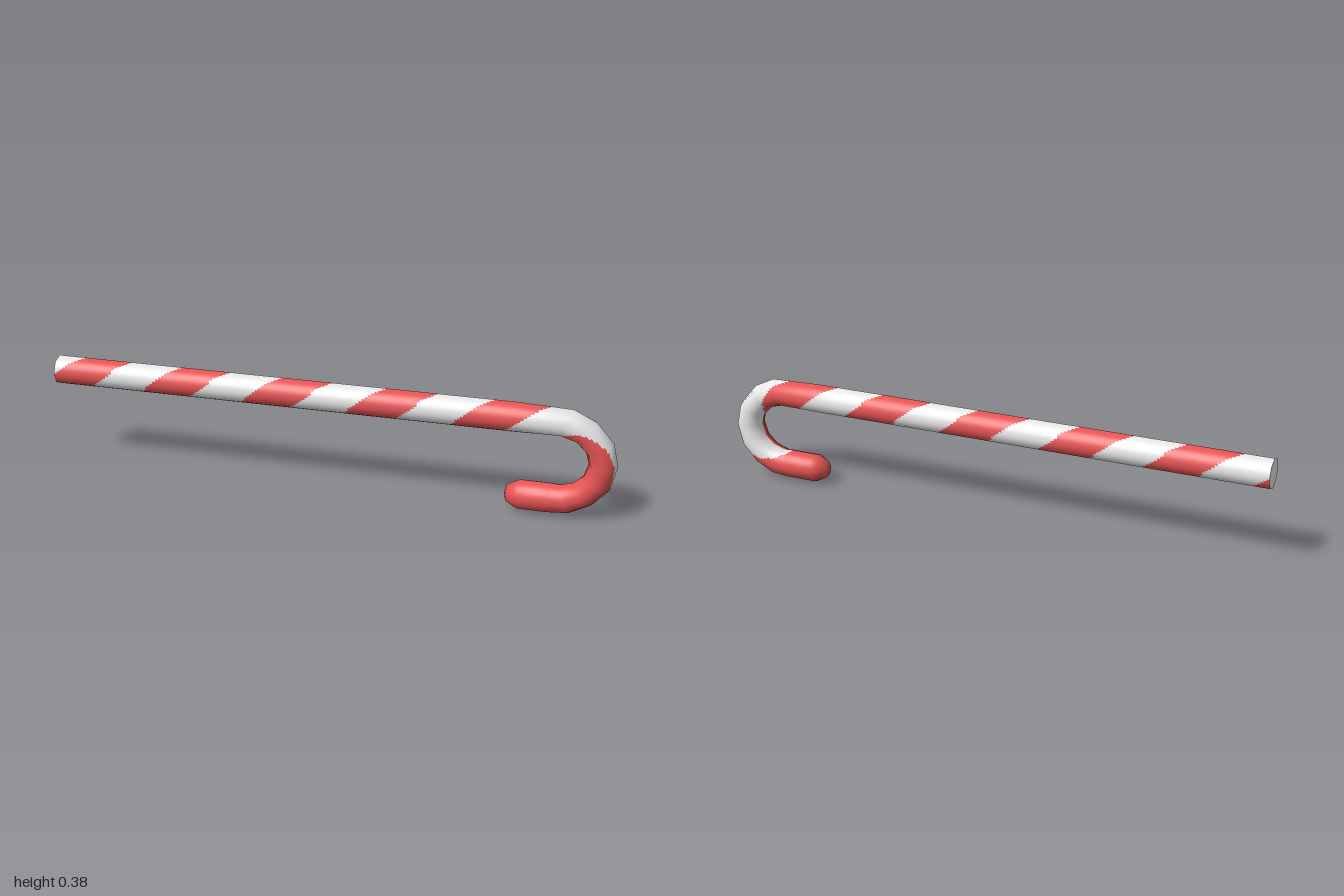
import * as THREE from 'three';

const SIDES = 8, SUB = 5, STEP = 0.01;
const PITCH = 0.37, FIRST = -0.9;

// Ring stations along the cane: centre x, y, lean of the outward direction
// (degrees from +x), radius in the bend plane, radius in z, normal tilt.
const R = 0.053;
const RINGS = [
  [-1, 0.327, 90, R, R, 0],
  [0.65, 0.327, 90, R, R, 0],
  [0.826, 0.325, 68, 0.052, R, 0],
  [0.89, 0.300, 48, 0.049, R, 0],
  [0.938, 0.248, 25, 0.049, R, 0],
  [0.952, 0.190, 0, 0.048, R, 0],
  [0.934, 0.125, -25, 0.049, R, 0],
  [0.89, 0.080, -48, 0.049, R, 0],
  [0.832, 0.055, -70, 0.052, R, 0],
  [0.78, 0.053, -90, R, R, 0],
  [0.68, 0.053, -90, R, R, 0.3],
  [0.637, 0.053, -90, 0.030, 0.030, 1.5],
  [0.629, 0.053, -90, 0.0005, 0.0005, 20],
];

// Where the last red area begins, at inner, front, outer, back, inner again
const LAST_RED = [0.79, 0.88, 1.09, 1.17, 1.28];

// turn: 0 front, 0.25 outer, 0.5 back, 0.75 inner
function isRed(s, turn) {
  const t = (turn + 0.25) * 4, i = Math.min(3, Math.floor(t));
  if (s > THREE.MathUtils.lerp(LAST_RED[i], LAST_RED[i + 1], t - i)) return true;
  const phase = (s - FIRST) / PITCH - turn;
  const n = Math.round(phase);
  return n <= 4 && Math.abs(phase - n) < 0.25;
}

// Octagonal ring, each side subdivided, with smooth normals
function makeRing([x, y, lean, h, w, tilt]) {
  const a = THREE.MathUtils.degToRad(lean);
  const u = new THREE.Vector3(Math.cos(a), Math.sin(a), 0);
  const t = new THREE.Vector3(u.y, -u.x, 0);
  const corners = [];
  for (let k = 0; k <= SIDES; k++) {
    const f = (k / SIDES - 0.25) * Math.PI * 2;
    const point = new THREE.Vector3(x, y, w * Math.cos(f)).addScaledVector(u, h * Math.sin(f));
    const normal = new THREE.Vector3(0, 0, Math.cos(f))
      .addScaledVector(u, Math.sin(f)).addScaledVector(t, tilt).normalize();
    corners.push({ point, normal });
  }
  const ring = [];
  for (let j = 0; j <= SIDES * SUB; j++) {
    const k = Math.min(SIDES - 1, Math.floor(j / SUB)), f = j / SUB - k;
    ring.push({
      point: corners[k].point.clone().lerp(corners[k + 1].point, f),
      normal: corners[k].normal.clone().lerp(corners[k + 1].normal, f),
    });
  }
  return ring;
}

function caneGeometry() {
  const rings = RINGS.map(makeRing);
  const positions = [], normals = [], stations = [];
  const cols = SIDES * SUB + 1;
  let s = -1;
  const addRow = (a, b, f, at) => {
    stations.push(at);
    for (let j = 0; j < cols; j++) {
      const p = a[j].point.clone().lerp(b[j].point, f);
      const n = a[j].normal.clone().lerp(b[j].normal, f).normalize();
      positions.push(p.x, p.y, p.z);
      normals.push(n.x, n.y, n.z);
    }
  };
  for (let i = 0; i < rings.length - 1; i++) {
    const len = Math.hypot(RINGS[i + 1][0] - RINGS[i][0], RINGS[i + 1][1] - RINGS[i][1]);
    const steps = Math.ceil(len / STEP);
    for (let m = 0; m < steps; m++) addRow(rings[i], rings[i + 1], m / steps, s + len * m / steps);
    s += len;
  }
  const last = rings[rings.length - 1];
  addRow(last, last, 0, s);

  // Sort the small faces into white and red
  const white = [], red = [];
  for (let i = 0; i < stations.length - 1; i++) {
    const mid = (stations[i] + stations[i + 1]) / 2;
    for (let j = 0; j < cols - 1; j++) {
      const a = i * cols + j, b = a + cols;
      const list = isRed(mid, (j + 0.5) / (cols - 1) - 0.25) ? red : white;
      list.push(a, b, b + 1, a, b + 1, a + 1);
    }
  }
  const g = new THREE.BufferGeometry();
  g.setAttribute('position', new THREE.Float32BufferAttribute(positions, 3));
  g.setAttribute('normal', new THREE.Float32BufferAttribute(normals, 3));
  g.setIndex(white.concat(red));
  g.addGroup(0, white.length, 0);
  g.addGroup(white.length, red.length, 1);
  return g;
}

export function createModel() {
  const white = new THREE.MeshStandardMaterial({ color: 0xeaeaea });
  white.name = 'sugar white';
  const red = new THREE.MeshStandardMaterial({ color: 0xe85454 });
  red.name = 'stripe red';

  const group = new THREE.Group();
  group.name = 'candyCane';

  // Striped shaft, hook and rounded tip
  const cane = new THREE.Mesh(caneGeometry(), [white, red]);
  cane.name = 'stripedCane';
  group.add(cane);

  // Flat cut end of the shaft
  const end = new THREE.Mesh(new THREE.CircleGeometry(R, SIDES), white);
  end.name = 'cutEnd';
  end.rotation.y = -Math.PI / 2;
  end.position.set(-1, 0.327, 0);
  group.add(end);

  return group;
}
